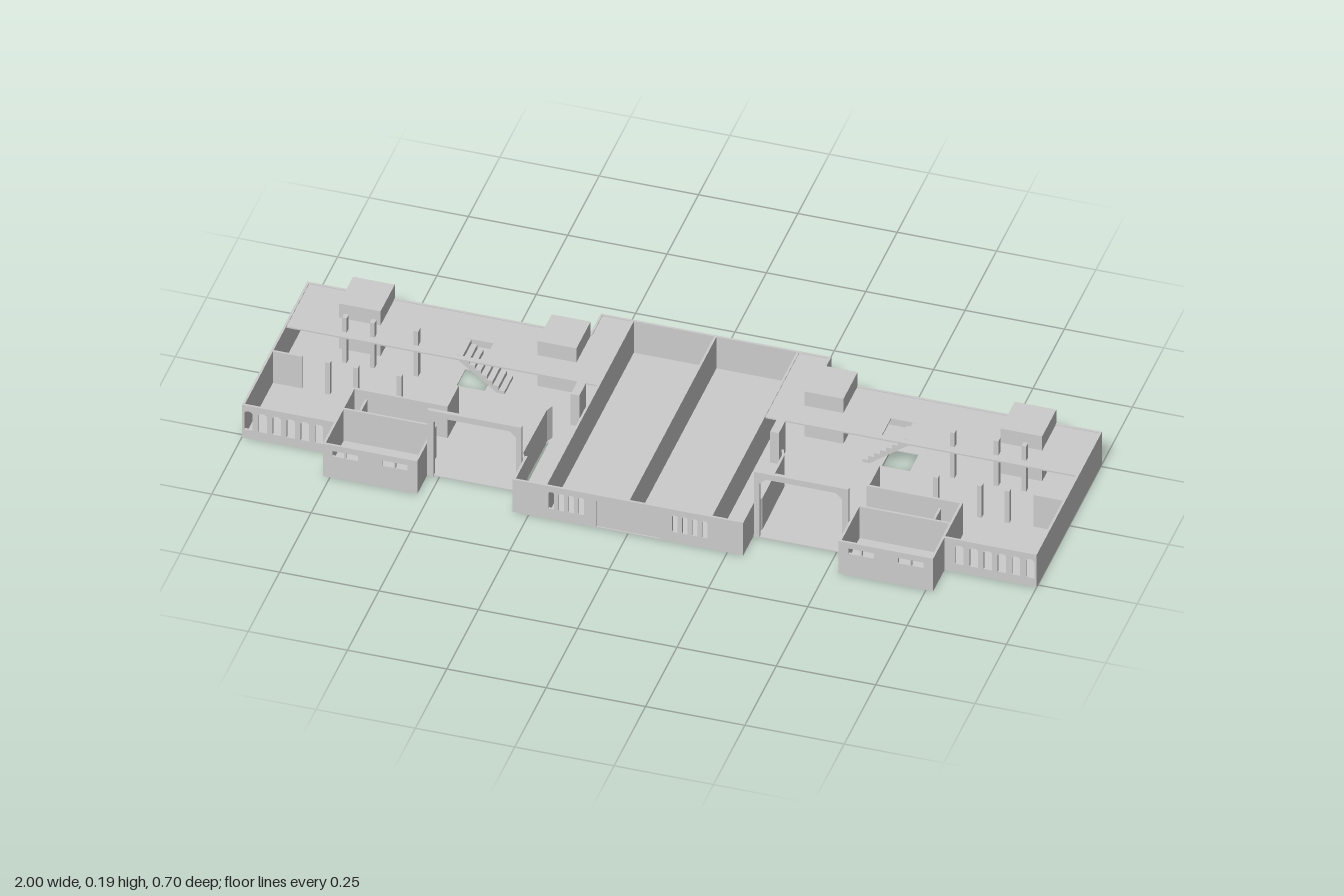
import * as THREE from 'three';

const H = 0.097;      // wall height
const DECK = 0.095;   // upper floor level
const T = 0.006;      // wall thickness
const mat = new THREE.MeshStandardMaterial({ color: 0xcccccc, flatShading: true, side: THREE.DoubleSide });

export function createModel() {
  const root = new THREE.Group();

  const add = (geo, name) => {
    const m = new THREE.Mesh(geo, mat);
    m.name = name;
    root.add(m);
    return m;
  };
  const poly = (pts, Type = THREE.Shape) => new Type(pts.map(p => new THREE.Vector2(p[0], p[1])));
  const rect = (x0, y0, x1, y1) => [[x0, y0], [x1, y0], [x1, y1], [x0, y1]];

  // Box given by its bounds
  const box = (name, x0, x1, y0, y1, z0, z1) =>
    add(new THREE.BoxGeometry(Math.abs(x1 - x0), y1 - y0, Math.abs(z1 - z0))
      .translate((x0 + x1) / 2, (y0 + y1) / 2, (z0 + z1) / 2), name);

  // Upright panel along x, with holes; z is its middle
  const panel = (name, outline, z, t, holes = []) => {
    const shape = poly(outline);
    holes.forEach(h => shape.holes.push(poly(h, THREE.Path)));
    add(new THREE.ExtrudeGeometry(shape, { depth: t, bevelEnabled: false }).translate(0, 0, z - t / 2), name);
  };

  // Flat slab drawn in x and z, with holes
  const slab = (name, outline, top, t, holes = []) => {
    const shape = poly(outline);
    holes.forEach(h => shape.holes.push(poly(h, THREE.Path)));
    add(new THREE.ExtrudeGeometry(shape, { depth: t, bevelEnabled: false })
      .rotateX(Math.PI / 2).translate(0, top, 0), name);
  };

  const wallX = (name, s, x0, x1, z, h = H) => box(name, s * x0, s * x1, 0, h, z - T / 2, z + T / 2);
  const wallZ = (name, s, x, z0, z1, h = H) => box(name, s * x - T / 2, s * x + T / 2, 0, h, z0, z1);

  // Window with slightly clipped top corners
  const windowHole = (x, w, y0, y1) => {
    const a = w / 2, c = w * 0.25;
    return [[x - a, y0], [x + a, y0], [x + a, y1 - c], [x + a - c, y1], [x - a + c, y1], [x - a, y1 - c]];
  };

  // Central hall
  slab('hallFloor', rect(-0.29, -0.35, 0.29, 0.35), 0.003, 0.003);
  wallX('hallBackWall', 1, -0.29, 0.29, -0.347);
  const hallHoles = [rect(-0.08, 0.002, 0.08, 0.08)];
  for (const s of [-1, 1])
    for (let i = 0; i < 4; i++) hallHoles.push(windowHole(s * (0.118 + i * 0.025), 0.014, 0.03, 0.08));
  panel('hallFrontWall', rect(-0.29, 0, 0.29, H), 0.347, T, hallHoles);
  box('entranceDoor', -0.08, 0.08, 0, 0.08, 0.344, 0.347);
  wallZ('hallMiddleWall', 1, 0, -0.35, 0.344);

  for (const s of [-1, 1]) {
    const mx = pts => pts.map(([x, z]) => [s * x, z]);

    // Ground floor of the wing, cut for the shafts and the stair
    const shafts = [[0.287, 0.385], [0.78, 0.885]];
    slab('wingFloor', mx([
      [0.29, -0.26], [1, -0.26], [1, 0.26], [0.765, 0.26], [0.765, 0.35], [0.53, 0.35], [0.53, 0.27],
      [0.29, 0.27], [0.29, 0.25], [0.302, 0.24], [0.302, 0.07], [0.29, 0.06],
    ]), 0.003, 0.003, [
      mx(rect(0.30, -0.254, 0.385, -0.15)),
      mx(rect(0.78, -0.254, 0.885, -0.15)),
      mx(rect(0.5, -0.16, 0.57, -0.09)),
    ]);

    // Upper deck along the back
    slab('upperDeck', mx([
      [0.21, -0.345], [0.288, -0.345], [0.288, -0.258], [0.998, -0.258], [0.998, -0.075], [0.21, -0.075],
    ]), DECK, 0.004, [
      mx(rect(0.5, -0.16, 0.57, -0.09)),
      mx(rect(0.781, -0.257, 0.884, -0.15)),
    ]);

    // Outer walls
    wallX('wingBackWall', s, 0.29, 1, -0.257);
    wallZ('wingEndWall', s, 0.997, -0.26, 0.26);
    wallZ('hallCornerWall', s, 0.287, -0.35, -0.26);
    const wingWindows = [];
    for (let i = 0; i < 6; i++) wingWindows.push(windowHole(s * (0.806 + i * 0.0355), 0.021, 0.025, 0.08));
    panel('wingFrontWall', mx(rect(0.765, 0, 1, H)), 0.257, T, wingWindows);

    // Walls beside the hall
    wallZ('hallSideWall', s, 0.208, -0.35, 0.35);
    wallZ('hallOuterWall', s, 0.287, 0.25, 0.35);
    slab('curvedPassageWall', mx([
      [0.294, 0.04], [0.302, 0.06], [0.304, 0.24], [0.292, 0.262],
      [0.286, 0.262], [0.298, 0.24], [0.296, 0.06], [0.288, 0.04],
    ]), H, H);
    box('passageBlock', s * 0.24, s * 0.262, 0, DECK, -0.075, -0.022);

    // Projecting bay with high windows
    const slots = [];
    for (const c of [0.587, 0.712])
      for (const d of [-0.017, 0.017])
        slots.push(mx(rect(c + d - 0.015, 0.064, c + d + 0.015, 0.08)));
    panel('bayFrontWall', mx(rect(0.53, 0, 0.765, H)), 0.347, T, slots);
    wallZ('bayInnerWall', s, 0.533, 0.2, 0.35);
    wallZ('bayOuterWall', s, 0.765, 0.115, 0.35);
    wallX('bayBackWall', s, 0.53, 0.768, 0.2);

    // Inner partitions
    wallX('corridorWall', s, 0.53, 0.768, 0.115);
    wallZ('corridorReturn', s, 0.53, 0.03, 0.118);
    wallZ('smallPartition', s, 0.722, 0.15, 0.195);
    wallX('endPartition', s, 0.92, 0.997, 0.03);

    // Portal frame with clipped inner corners
    panel('portalFrame', mx([
      [0.293, 0], [0.306, 0], [0.306, 0.162], [0.322, 0.178], [0.498, 0.178], [0.514, 0.162], [0.514, 0],
      [0.53, 0], [0.53, 0.195], [0.293, 0.195],
    ]), 0.267, 0.01);

    // Shafts rising through the deck, open below
    for (const [a, b] of shafts) {
      const top = 0.137;
      box('shaftRoof', s * a, s * b, top - 0.004, top, -0.26, -0.147);
      box('shaftBack', s * a, s * b, 0, top, -0.26, -0.256);
      box('shaftFront', s * a, s * b, 0, top, -0.151, -0.147);
      for (const x of [a + 0.002, b - 0.002])
        box('shaftSide', s * x - 0.002, s * x + 0.002, 0, top, -0.26, -0.147);
    }

    // Columns in two rows
    for (const x of [0.675, 0.785, 0.855]) {
      box('rearColumn', s * x - 0.006, s * x + 0.006, 0, 0.137, -0.112, -0.096);
      box('frontColumn', s * x - 0.006, s * x + 0.006, 0, H, 0.024, 0.037);
    }

    // Stair from the deck down toward the hall
    const steps = 8, run = 0.12 / steps, rise = DECK / steps;
    const profile = [[0.57, DECK]];
    for (let i = 0; i < steps; i++) {
      const x = 0.57 - i * run, y = DECK - i * rise;
      profile.push([x - run, y], [x - run, y - rise]);
    }
    profile.push([0.465, 0], [0.57, DECK - 0.014]);
    panel('stair', mx(profile), -0.125, 0.068);
  }

  return root;
}
